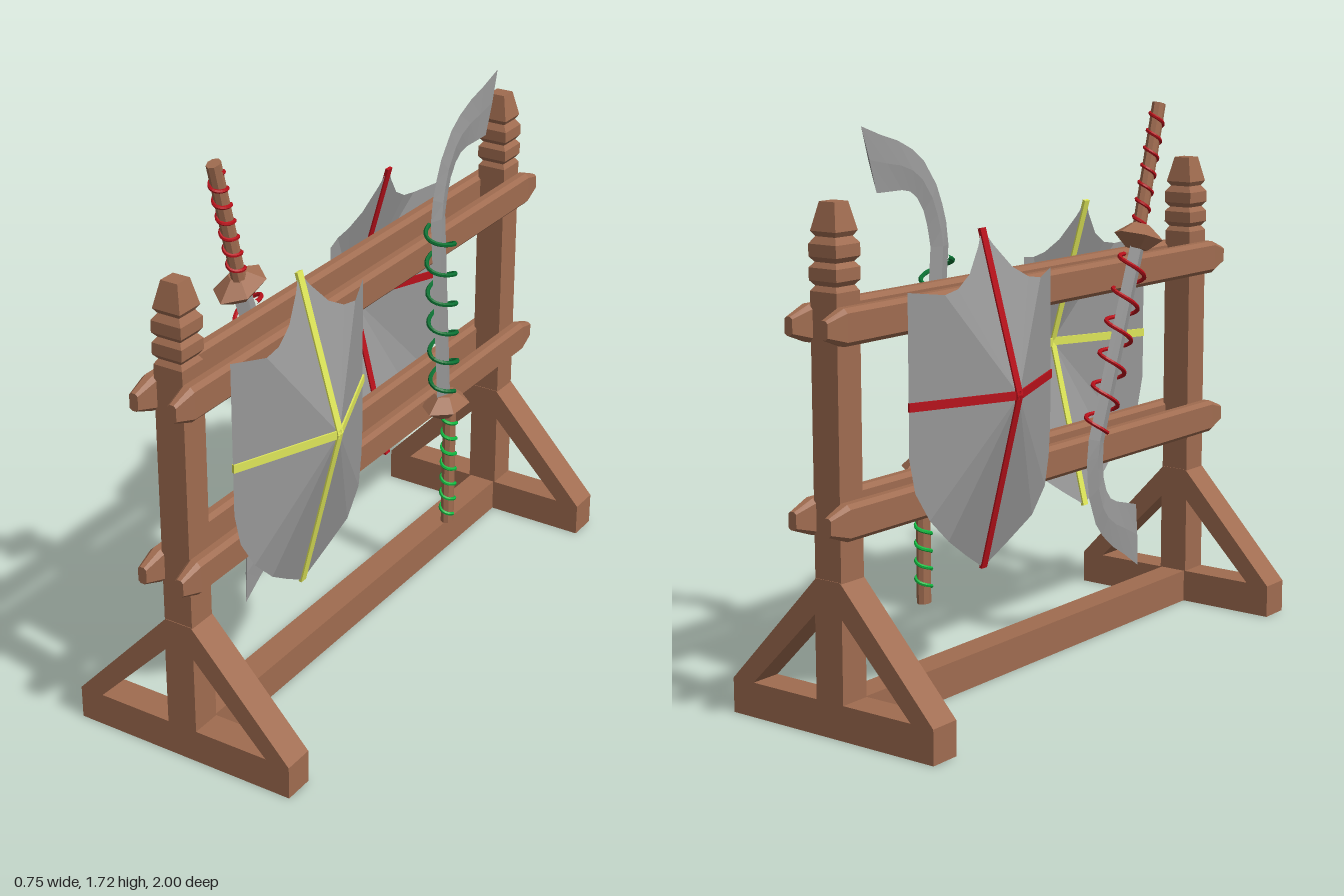
import * as THREE from 'three';

const mat = (color, side = THREE.FrontSide) => new THREE.MeshStandardMaterial({ color, flatShading: true, side });
const WOOD = mat(0xa06c50);
const STEEL = mat(0x989898, THREE.DoubleSide);
const YELLOW = mat(0xe0e85a);
const RED = mat(0xb8101a);
const GREEN = mat(0x10b840);
const DARK_GREEN = mat(0x0a7032);

function add(parent, name, geometry, material, x = 0, y = 0, z = 0) {
  const mesh = new THREE.Mesh(geometry, material);
  mesh.name = name;
  mesh.position.set(x, y, z);
  parent.add(mesh);
  return mesh;
}

const polygon = (Type, pts) => new Type(pts.map(([x, y]) => new THREE.Vector2(x, y)));

function bufferGeometry(points, index) {
  const g = new THREE.BufferGeometry();
  g.setAttribute('position', new THREE.Float32BufferAttribute(points.flat(), 3));
  g.setIndex(index);
  g.computeVertexNormals();
  return g;
}

// Square post with notched finial
function postGeometry() {
  const profile = [[0, 0], [0.048, 0], [0.048, 1.27], [0.038, 1.285], [0.05, 1.3], [0.05, 1.335], [0.038, 1.35],
    [0.05, 1.365], [0.05, 1.4], [0.036, 1.42], [0.046, 1.435], [0.028, 1.515], [0, 1.515]];
  const pts = profile.map(([r, y]) => new THREE.Vector2(r * Math.SQRT2, y));
  return new THREE.LatheGeometry(pts, 4, Math.PI / 4);
}

// Triangulated foot with two openings
function footGeometry() {
  const shape = polygon(THREE.Shape, [[-0.375, 0], [0.375, 0], [0.375, 0.105], [0.045, 0.46], [-0.045, 0.46], [-0.375, 0.105]]);
  for (const s of [-1, 1]) {
    shape.holes.push(polygon(THREE.Path, [[s * 0.05, 0.105], [s * 0.295, 0.105], [s * 0.05, 0.355]]));
  }
  return new THREE.ExtrudeGeometry(shape, { depth: 0.1, bevelEnabled: false }).translate(0, 0, -0.05);
}

// Chamfered rail, drawn in at both ends
function railGeometry() {
  const w = 0.024, h = 0.053, c = 0.013;
  const shape = polygon(THREE.Shape, [[-w + c, -h], [w - c, -h], [w, -h + c], [w, h - c], [w - c, h], [-w + c, h], [-w, h - c], [-w, -h + c]]);
  const g = new THREE.ExtrudeGeometry(shape, { depth: 2, steps: 28, bevelEnabled: false }).translate(0, 0, -1);
  const p = g.attributes.position;
  for (let i = 0; i < p.count; i++) {
    if (Math.abs(p.getZ(i)) > 0.99) p.setXY(i, p.getX(i) * 0.6, p.getY(i) * 0.5);
  }
  return g;
}

// Peaked shield facing +x, its boss at height 0
function makeShield(name, bandMaterial) {
  const group = new THREE.Group();
  group.name = name;
  const half = [[0, 0.475], [0.035, 0.425], [0.1, 0.355], [0.165, 0.32], [0.225, 0.31], [0.335, 0.325], [0.335, 0],
    [0.335, -0.15], [0.318, -0.25], [0.275, -0.335], [0.2, -0.41], [0.1, -0.475], [0, -0.535]];
  const outline = [...half, ...half.slice(1, -1).reverse().map(([z, y]) => [-z, y])];
  const rise = 0.135;
  const points = [[0, 0, 0]];
  const index = [];
  outline.forEach(([z, y], i) => {
    const t = Math.max(Math.abs(z) / 0.335, y > 0 ? y / 0.475 : -y / 0.535);
    points.push([-rise * t, y, z]);
    index.push(0, i + 1, ((i + 1) % outline.length) + 1);
  });
  add(group, 'shieldFace', bufferGeometry(points, index), STEEL);

  // Coloured cross bands from the boss to the rim
  for (const [s, reach] of [[1, 0.475], [-1, 0.535]]) {
    const band = add(group, 'verticalBand', new THREE.BoxGeometry(0.01, Math.hypot(reach, rise), 0.026), bandMaterial, -rise / 2, s * reach / 2, 0);
    band.rotation.z = s * Math.atan(rise / reach);
    const side = add(group, 'crossBand', new THREE.BoxGeometry(0.01, 0.026, Math.hypot(0.335, rise)), bandMaterial, -rise / 2, 0, s * 0.1675);
    side.rotation.y = -s * Math.atan(rise / 0.335);
  }
  return group;
}

// Flattened wire coil climbing between two heights, leaning along z
function coilGeometry(y0, y1, z0, z1, rx, rz, turns, wire) {
  const pts = [];
  const n = Math.round(turns * 12);
  for (let i = 0; i <= n; i++) {
    const t = i / n, a = t * turns * Math.PI * 2;
    pts.push(new THREE.Vector3(rx * Math.cos(a), y0 + (y1 - y0) * t, z0 + (z1 - z0) * t + rz * Math.sin(a)));
  }
  return new THREE.TubeGeometry(new THREE.CatmullRomCurve3(pts), n * 2, wire, 6);
}

// Curved blade: each section runs from outer edge to inner edge with a raised spine
function bladeGeometry() {
  const sections = [[0.042, 0, -0.037, 0], [0.103, 0.66, 0.018, 0.66], [0.093, 0.73, 0.012, 0.69], [0.075, 0.785, 0.004, 0.725],
    [0.048, 0.845, -0.012, 0.77], [-0.01, 0.92, -0.04, 0.81], [-0.06, 0.955, -0.072, 0.833], [-0.127, 0.985, -0.11, 0.84],
    [-0.2, 1.005, -0.16, 0.84], [-0.287, 1.035, -0.223, 0.84]];
  const points = [];
  const index = [];
  sections.forEach(([oz, oy, iz, iy], k) => {
    const t = 0.016 * (1 - k / 10.5), mz = (oz + iz) / 2, my = (oy + iy) / 2;
    points.push([0, oy, oz], [t, my, mz], [0, iy, iz], [-t, my, mz]);
    if (k === 0) return;
    for (let i = 0; i < 4; i++) {
      const a = (k - 1) * 4 + i, b = (k - 1) * 4 + (i + 1) % 4;
      index.push(a, b, b + 4, a, b + 4, a + 4);
    }
  });
  const e = points.length - 4;
  index.push(e, e + 1, e + 2, e, e + 2, e + 3);
  return bufferGeometry(points, index);
}

// Sabre with its guard at the origin and blade pointing up
function makeSabre(name, bladeWire, gripWire) {
  const group = new THREE.Group();
  group.name = name;
  add(group, 'blade', bladeGeometry(), STEEL, -0.004);
  const guard = [[0, -0.04], [0.35, -0.04], [1, 0], [0.45, 0.04], [0, 0.04]].map(([r, y]) => new THREE.Vector2(r, y));
  add(group, 'guard', new THREE.LatheGeometry(guard, 6), WOOD).scale.set(0.07, 1, 0.1);
  add(group, 'grip', new THREE.CylinderGeometry(0.025, 0.025, 0.41, 8), WOOD, 0.01, -0.225, -0.01).scale.x = 0.8;
  add(group, 'gripWire', coilGeometry(-0.4, -0.04, -0.01, -0.01, 0.021, 0.027, 6.5, 0.006), gripWire, 0.01);
  add(group, 'bladeWire', coilGeometry(0.06, 0.63, 0.008, 0.055, 0.038, 0.058, 5.5, 0.007), bladeWire);
  return group;
}

export function createModel() {
  const model = new THREE.Group();
  model.name = 'weaponRack';

  // Wooden frame
  for (const z of [-0.88, 0.88]) {
    add(model, 'post', postGeometry(), WOOD, 0, 0, z);
    add(model, 'foot', footGeometry(), WOOD, 0, 0, z);
  }
  add(model, 'groundBeam', new THREE.BoxGeometry(0.09, 0.105, 1.68), WOOD, 0, 0.0525, 0);
  for (const x of [-0.064, 0.064]) {
    for (const y of [0.635, 1.18]) add(model, 'rail', railGeometry(), WOOD, x, y, 0);
  }

  // Shields, one on each side
  const leftShield = makeShield('leftShield', YELLOW);
  leftShield.position.set(0.238, 0.925, 0.45);
  const rightShield = makeShield('rightShield', RED);
  rightShield.position.set(-0.238, 0.925, -0.36);
  rightShield.rotation.y = Math.PI;

  // Sabres, the right one hung point down and tilted
  const leftSabre = makeSabre('leftSabre', DARK_GREEN, GREEN);
  leftSabre.position.set(0.14, 0.66, -0.32);
  const rightSabre = makeSabre('rightSabre', RED, RED);
  rightSabre.position.set(-0.115, 1.3, 0.43);
  rightSabre.rotation.x = Math.PI + 0.267;

  model.add(leftShield, rightShield, leftSabre, rightSabre);
  return model;
}
